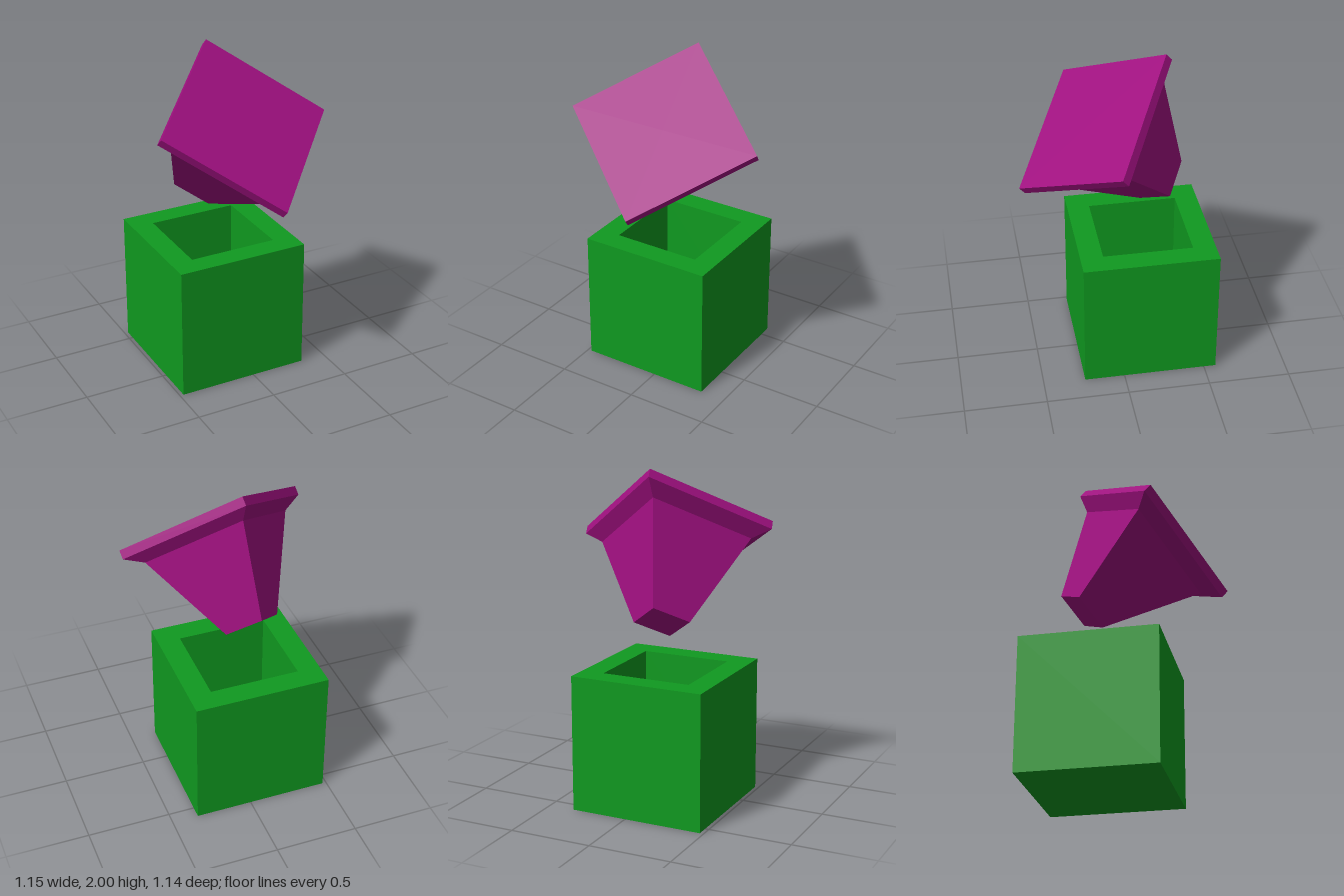
import * as THREE from 'three';

// Square solid from a profile of [half side, height], listed from bottom axis point outward
function squareSolid(name, profile, color) {
  const points = profile.map(([half, y]) => new THREE.Vector2(half * Math.SQRT2, y));
  const geometry = new THREE.LatheGeometry(points, 4, Math.PI / 4).toNonIndexed();
  geometry.computeVertexNormals();
  const material = new THREE.MeshStandardMaterial({ color, flatShading: true });
  const mesh = new THREE.Mesh(geometry, material);
  mesh.name = name;
  return mesh;
}

export function createModel() {
  const group = new THREE.Group();
  group.name = 'boxAndStopper';

  // Open box with a square well in its top
  const outer = 0.409, inner = 0.272, height = 0.818, floor = 0.136;
  const box = squareSolid('hollowBox', [
    [0, 0], [outer, 0], [outer, height], [inner, height], [inner, floor], [0, floor],
  ], 0x109a20);
  box.position.set(-0.068, 0, -0.164);
  group.add(box);

  // Tapered stopper: small tip, long taper, bevel, square plate
  const stopper = squareSolid('taperedStopper', [
    [0, -0.665], [0.12, -0.665], [0.327, -0.115], [0.409, -0.054], [0.409, 0], [0, 0],
  ], 0xa01080);

  // Tilt it so the plate faces up and forward
  const side = new THREE.Vector3(0.737, -0.522, 0.43).normalize();
  const up = new THREE.Vector3(-0.661, -0.41, 0.63).cross(side).normalize();
  const front = new THREE.Vector3().crossVectors(side, up);
  stopper.quaternion.setFromRotationMatrix(new THREE.Matrix4().makeBasis(side, up, front));
  stopper.position.set(0, 1.62, 0.137);
  group.add(stopper);

  return group;
}
